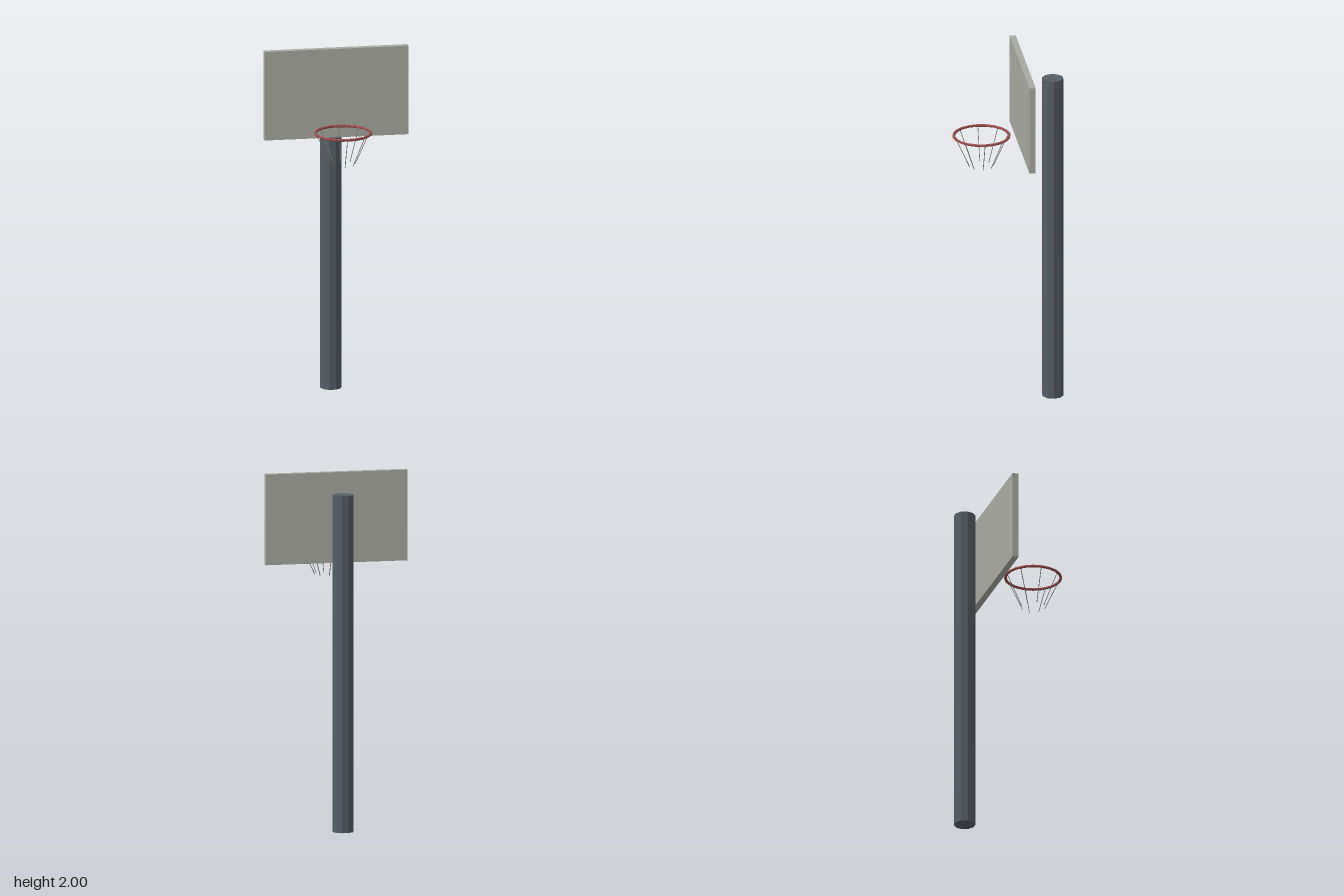
import * as THREE from 'three';

const paint = (color) => new THREE.MeshStandardMaterial({ color, flatShading: true });

// Straight rod between two points, with a corner of its section facing up
function rod(name, a, b, radius, sides, material) {
  const geometry = new THREE.CylinderGeometry(radius, radius, a.distanceTo(b), sides);
  geometry.rotateX(Math.PI / 2);
  const mesh = new THREE.Mesh(geometry, material);
  mesh.name = name;
  mesh.position.copy(a).lerp(b, 0.5);
  mesh.lookAt(b);
  return mesh;
}

export function createModel() {
  const model = new THREE.Group();
  model.name = 'basketballHoop';
  const poleMat = paint(0x555e66);
  const boardMat = paint(0xaaaaa3);
  const rimMat = paint(0x9a5050);
  const netMat = paint(0x777777);

  // Ten-sided pole with flats facing front and back
  const pole = new THREE.Mesh(new THREE.CylinderGeometry(0.06, 0.06, 1.895, 10), poleMat);
  pole.name = 'pole';
  pole.position.set(0, 1.895 / 2, -0.254);
  pole.rotation.y = Math.PI / 10;
  model.add(pole);

  // Backboard
  const board = new THREE.Mesh(new THREE.BoxGeometry(0.81, 0.51, 0.035), boardMat);
  board.name = 'backboard';
  board.position.set(0, 1.745, -0.085);
  model.add(board);

  // Point on a level circle about the hoop's axis
  const around = (radius, y, angle) =>
    new THREE.Vector3(radius * Math.cos(angle), y, 0.146 + radius * Math.sin(angle));

  // Rim of straight segments
  const rim = new THREE.Group();
  rim.name = 'rim';
  const segments = 20;
  for (let i = 0; i < segments; i++) {
    const a = (i / segments) * Math.PI * 2;
    const b = ((i + 1) / segments) * Math.PI * 2;
    rim.add(rod('rimSegment', around(0.155, 1.572, a), around(0.155, 1.572, b), 0.008, 6, rimMat));
  }
  model.add(rim);

  // Net strands leaning inwards
  const net = new THREE.Group();
  net.name = 'net';
  for (let i = 0; i < 8; i++) {
    const a = (i / 8) * Math.PI * 2;
    net.add(rod('netStrand', around(0.067, 1.39, a), around(0.15, 1.572, a), 0.002, 6, netMat));
  }
  model.add(net);

  return model;
}
